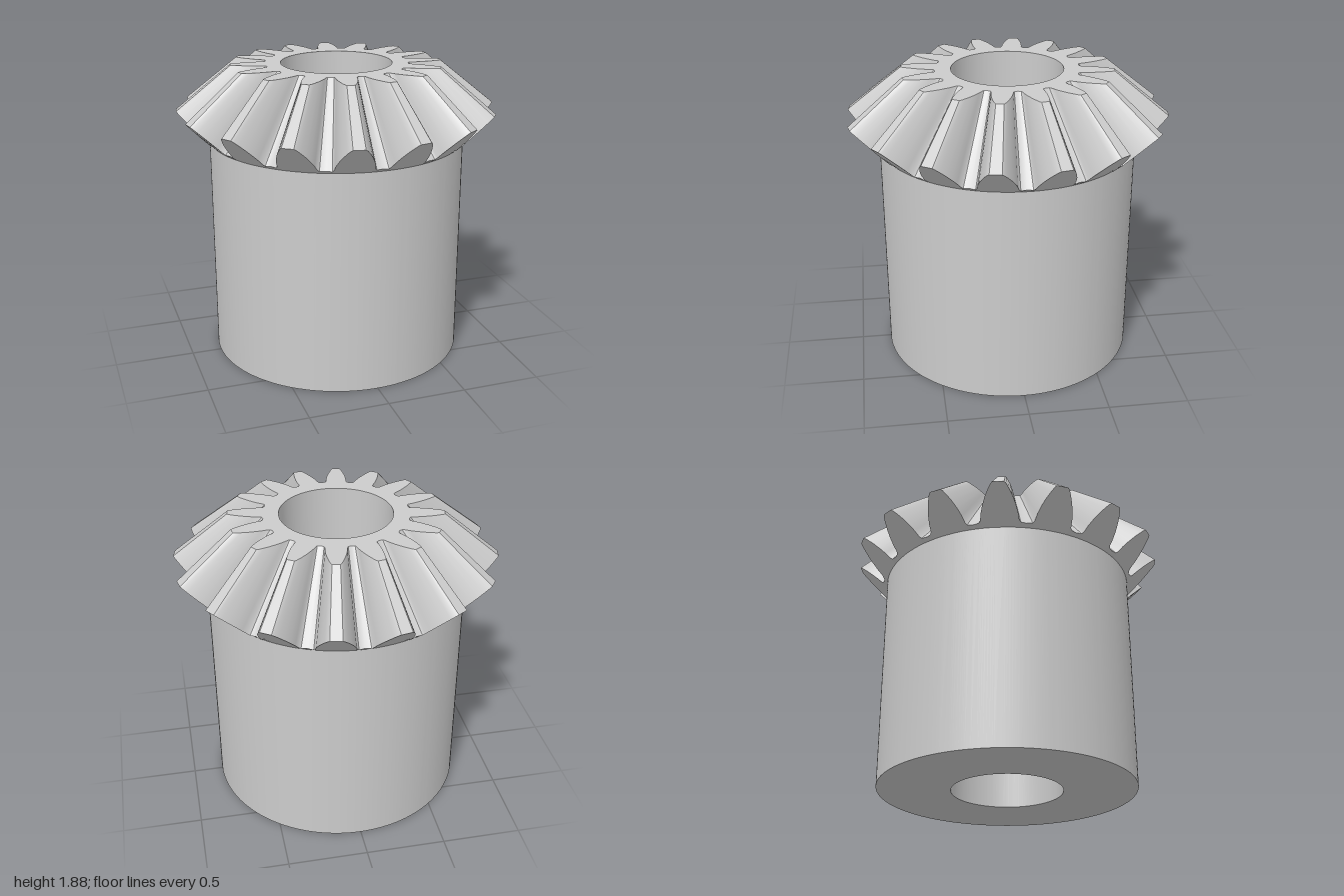
import * as THREE from 'three';
import { toCreasedNormals } from 'three/addons/utils/BufferGeometryUtils.js';

const TEETH = 16, APEX = 2.42, TOP = 1.885, BORE = 0.35, HUB = 0.81, SHOULDER = 1.41;
const ROOT = [0.83, 1.43], TIP = [1.01, 1.605];

// Half tooth outline at the large end: [height from root to tip, half width]
const HALF = [[0, 0.128], [0.06, 0.119], [0.25, 0.113], [0.45, 0.101],
  [0.65, 0.084], [0.82, 0.065], [0.95, 0.048], [1, 0.036]];

// Closed rings of points, ordered bottom to top, joined into a skin
function loft(rings, crease) {
  const n = rings[0].length, pos = rings.flat().flatMap(p => p.toArray()), index = [];
  for (let i = 0; i < rings.length - 1; i++) {
    for (let j = 0; j < n; j++) {
      const k = (j + 1) % n, a = i * n, b = a + n;
      index.push(a + j, a + k, b + k, a + j, b + k, b + j);
    }
  }
  const g = new THREE.BufferGeometry();
  g.setAttribute('position', new THREE.Float32BufferAttribute(pos, 3));
  g.setIndex(index);
  return toCreasedNormals(g, crease);
}

// Outline of all teeth at the large end
function toothRing() {
  const side = s => HALF.map(([t, w]) => [
    THREE.MathUtils.lerp(ROOT[0], TIP[0], t), THREE.MathUtils.lerp(ROOT[1], TIP[1], t), s * w]);
  const outline = [...side(-1), ...side(1).reverse()];
  const ring = [], up = new THREE.Vector3(0, 1, 0);
  for (let i = 0; i < TEETH; i++) {
    const angle = (i + 0.5) * 2 * Math.PI / TEETH;
    for (const [r, y, w] of outline) ring.push(new THREE.Vector3(w, y, r).applyAxisAngle(up, angle));
    // middle of the valley after this tooth
    ring.push(new THREE.Vector3(0, ROOT[1], ROOT[0]).applyAxisAngle(up, angle + Math.PI / TEETH));
  }
  return ring;
}

export function createModel() {
  const group = new THREE.Group();
  const material = new THREE.MeshStandardMaterial({ color: 0xcccccc });
  const add = (name, geometry) => {
    const mesh = new THREE.Mesh(geometry, material);
    mesh.name = name;
    group.add(mesh);
  };

  const outer = toothRing();
  // Teeth shrink towards the cone apex and are cut by the flat top
  const inner = outer.map(p => {
    const s = (APEX - TOP) / (APEX - p.y);
    return new THREE.Vector3(p.x * s, TOP, p.z * s);
  });
  const circle = (r, y) => outer.map(p => {
    const s = r / Math.hypot(p.x, p.z);
    return new THREE.Vector3(p.x * s, y, p.z * s);
  });

  // Back cone, tooth flanks and flat top
  add('bevelTeeth', loft([circle(HUB, SHOULDER), outer, inner, circle(BORE, TOP)], 0.6));
  // Through hole, underside and outer wall of the hub
  add('hub', loft([circle(BORE, TOP), circle(BORE, 0), circle(HUB, 0), circle(HUB, SHOULDER)], 0.6));
  return group;
}
